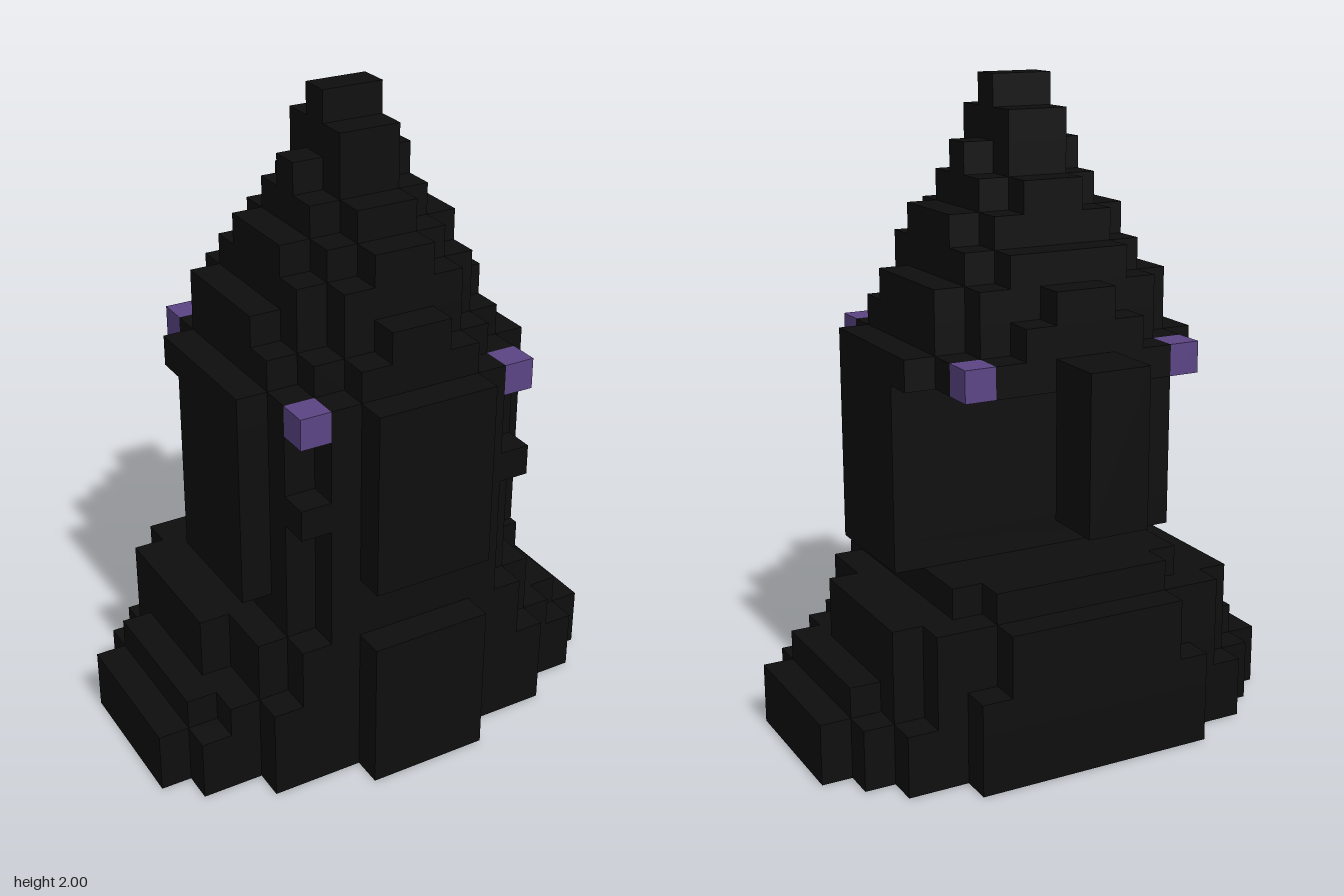
import * as THREE from 'three';

const U = 2 / 21; // edge of one block

// Each tier: name, bottom, top, first row in z, then the half-width of each z row
const TIERS = [
  ['baseFoot', 0, 2, -5, '46788888752'],
  ['baseMiddle', 2, 3, -5, '45677777652'],
  ['baseUpper', 3, 5, -5, '35666665542'],
  ['waist', 5, 6, -4, '344444443'],
  ['bodyLower', 6, 7, -1, '555543'],
  ['body', 7, 12, -1, '5555432'],
  ['hoodRim', 12, 13, -4, '3455555432'],
  ['hoodLower', 13, 14, -4, '234444432'],
  ['hoodLowerStep', 14, 15, -4, '134444321'],
  ['hoodMiddle', 15, 16, -3, '2333332'],
  ['hoodMiddleStep', 16, 17, -2, '233321'],
  ['hoodUpper', 17, 18, -2, '12221'],
  ['hoodUpperStep', 18, 19, -1, '121'],
  ['hoodPeak', 19, 20, -1, '111'],
  ['hoodTip', 20, 21, 0, '1'],
];

// Stepped, mirrored outline extruded upward
function tierGeometry(y0, y1, z0, rows) {
  const right = [];
  [...rows].forEach((w, i) => {
    right.push([+w, -(z0 + i)], [+w, -(z0 + i + 1)]);
  });
  const left = right.map(([x, y]) => [-x, y]).reverse();
  const points = [...right, ...left]
    .filter((p, i, a) => {
      const q = a[(i + 1) % a.length];
      return p[0] !== q[0] || p[1] !== q[1];
    })
    .map(([x, y]) => new THREE.Vector2(x * U, y * U));
  const geo = new THREE.ExtrudeGeometry(new THREE.Shape(points), {
    depth: (y1 - y0) * U, bevelEnabled: false,
  });
  geo.rotateX(-Math.PI / 2);
  geo.translate(0, y0 * U, 0);
  return geo;
}

export function createModel() {
  const model = new THREE.Group();
  model.name = 'hoodedFigure';
  const black = new THREE.MeshStandardMaterial({ color: 0x0e0e0e });
  black.name = 'black cloth';
  const purple = new THREE.MeshStandardMaterial({ color: 0x5a4484 });
  purple.name = 'purple gem';

  const add = (name, geo, mat) => {
    const mesh = new THREE.Mesh(geo, mat);
    mesh.name = name;
    model.add(mesh);
    return mesh;
  };
  // Box given by its block-unit limits
  const block = (name, mat, x0, x1, y0, y1, z0, z1) => {
    const geo = new THREE.BoxGeometry((x1 - x0) * U, (y1 - y0) * U, (z1 - z0) * U);
    add(name, geo, mat).position.set((x0 + x1) * U / 2, (y0 + y1) * U / 2, (z0 + z1) * U / 2);
  };

  // Robe and hood
  for (const [name, y0, y1, z0, rows] of TIERS) add(name, tierGeometry(y0, y1, z0, rows), black);

  // Flap hanging behind the hood
  block('backFlap', black, -1, 1, 8, 13, -6, -4);

  // Gems at the four corners of the rim, and knobs under the front pair
  for (const [side, s] of [['left', 1], ['right', -1]]) {
    const x0 = s > 0 ? 3 : -4;
    block(side + 'FrontGem', purple, x0, x0 + 1, 12, 13, 4, 5);
    block(side + 'BackGem', purple, x0, x0 + 1, 12, 13, -4, -3);
    block(side + 'FrontKnob', black, x0, x0 + 1, 9, 10, 4, 5);
  }
  return model;
}
